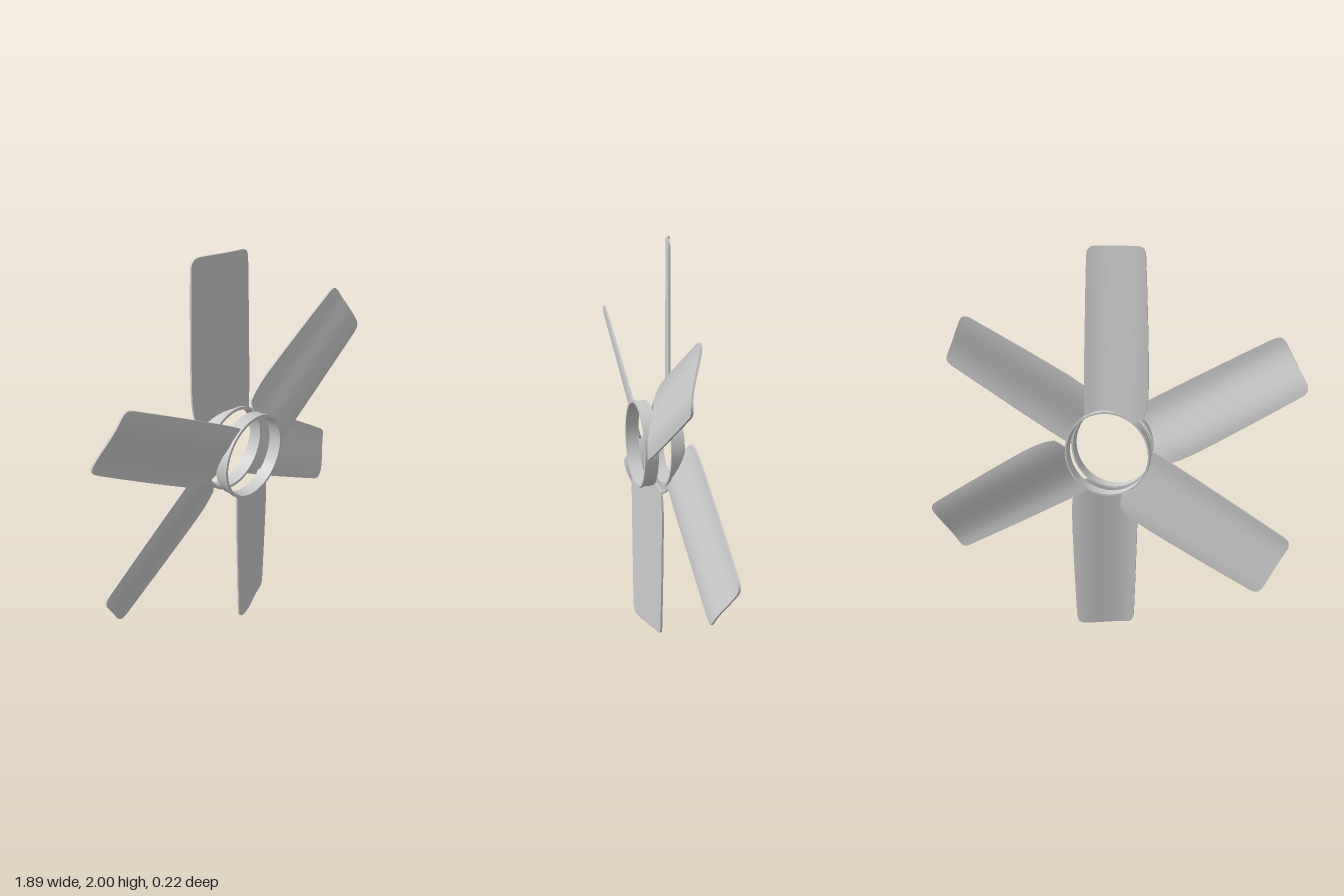
import * as THREE from 'three';
import { toCreasedNormals } from 'three/addons/utils/BufferGeometryUtils.js';

const material = new THREE.MeshStandardMaterial({ color: 0xcccccc, side: THREE.DoubleSide });

// Blade outline: distance from the hub axis, trailing edge, leading edge
const OUTLINE = [
  [0.17, -0.122, 0.13], [0.19, -0.123, 0.148], [0.215, -0.124, 0.167], [0.245, -0.125, 0.187],
  [0.28, -0.125, 0.2], [0.32, -0.125, 0.208], [0.38, -0.124, 0.211], [0.5, -0.122, 0.208],
  [0.65, -0.118, 0.203], [0.8, -0.114, 0.197], [0.95, -0.109, 0.19], [0.972, -0.106, 0.187],
  [0.986, -0.099, 0.18], [0.995, -0.088, 0.169], [1.0, -0.068, 0.15],
];
const CHORD_STEPS = 18;
const HALF_THICKNESS = 0.005;
const RING_RADIUS = 0.213;

// S-shaped camber across the chord
const camber = (n) => 0.1 - 0.075 * THREE.MathUtils.smoothstep(n, -0.09, 0.21);

// Thin cambered blade pointing along +x, root wrapped onto the ring
function bladeGeometry() {
  const positions = [];
  const point = (row, col, side) => {
    const [d, lo, hi] = OUTLINE[row];
    const n = THREE.MathUtils.lerp(lo, hi, col / CHORD_STEPS);
    const arc = Math.sqrt(Math.max(RING_RADIUS ** 2 - n * n, 0.01));
    const fade = 1 - THREE.MathUtils.clamp((d - 0.17) / 0.25, 0, 1);
    return [d + (arc - 0.17) * fade, n, camber(n) + side * HALF_THICKNESS];
  };
  const quad = (a, b, c, d) => positions.push(...a, ...b, ...c, ...a, ...c, ...d);
  const last = OUTLINE.length - 1;

  // Front and back skins
  for (let r = 0; r < last; r++) {
    for (let c = 0; c < CHORD_STEPS; c++) {
      quad(point(r, c, 1), point(r + 1, c, 1), point(r + 1, c + 1, 1), point(r, c + 1, 1));
      quad(point(r, c, -1), point(r, c + 1, -1), point(r + 1, c + 1, -1), point(r + 1, c, -1));
    }
  }

  // Rim, walked counterclockwise around the outline
  const loop = [];
  for (let r = 0; r < last; r++) loop.push([r, 0]);
  for (let c = 0; c < CHORD_STEPS; c++) loop.push([last, c]);
  for (let r = last; r > 0; r--) loop.push([r, CHORD_STEPS]);
  for (let c = CHORD_STEPS; c > 0; c--) loop.push([0, c]);
  loop.forEach(([r, c], i) => {
    const [r2, c2] = loop[(i + 1) % loop.length];
    quad(point(r, c, -1), point(r2, c2, -1), point(r2, c2, 1), point(r, c, 1));
  });

  const geometry = new THREE.BufferGeometry();
  geometry.setAttribute('position', new THREE.Float32BufferAttribute(positions, 3));
  return toCreasedNormals(geometry, 0.6);
}

// Hub ring with a small lip on its front edge
function ringGeometry() {
  const profile = [
    [0.207, 0.047], [0.216, 0.047], [0.216, 0.102], [0.222, 0.102],
    [0.222, 0.115], [0.207, 0.115], [0.207, 0.047],
  ].map(([r, z]) => new THREE.Vector2(r, z));
  return toCreasedNormals(new THREE.LatheGeometry(profile, 64).rotateX(Math.PI / 2), 0.6);
}

export function createModel() {
  const model = new THREE.Group();
  model.name = 'twinRotor';
  const blade = bladeGeometry();
  const ring = ringGeometry();

  // Two three-bladed rotors, half a turn apart
  const addRotor = (name, turn, z) => {
    const rotor = new THREE.Group();
    rotor.name = name;
    const hub = new THREE.Mesh(ring, material);
    hub.name = 'hubRing';
    rotor.add(hub);
    for (let i = 0; i < 3; i++) {
      const mesh = new THREE.Mesh(blade, material);
      mesh.name = `blade${i + 1}`;
      mesh.rotation.z = -Math.PI / 2 + (i * 2 * Math.PI) / 3;
      rotor.add(mesh);
    }
    rotor.rotation.z = turn;
    rotor.position.set(-0.004, 1, z);
    model.add(rotor);
  };
  addRotor('frontRotor', 0, 0);
  addRotor('rearRotor', Math.PI, -0.13);
  return model;
}
